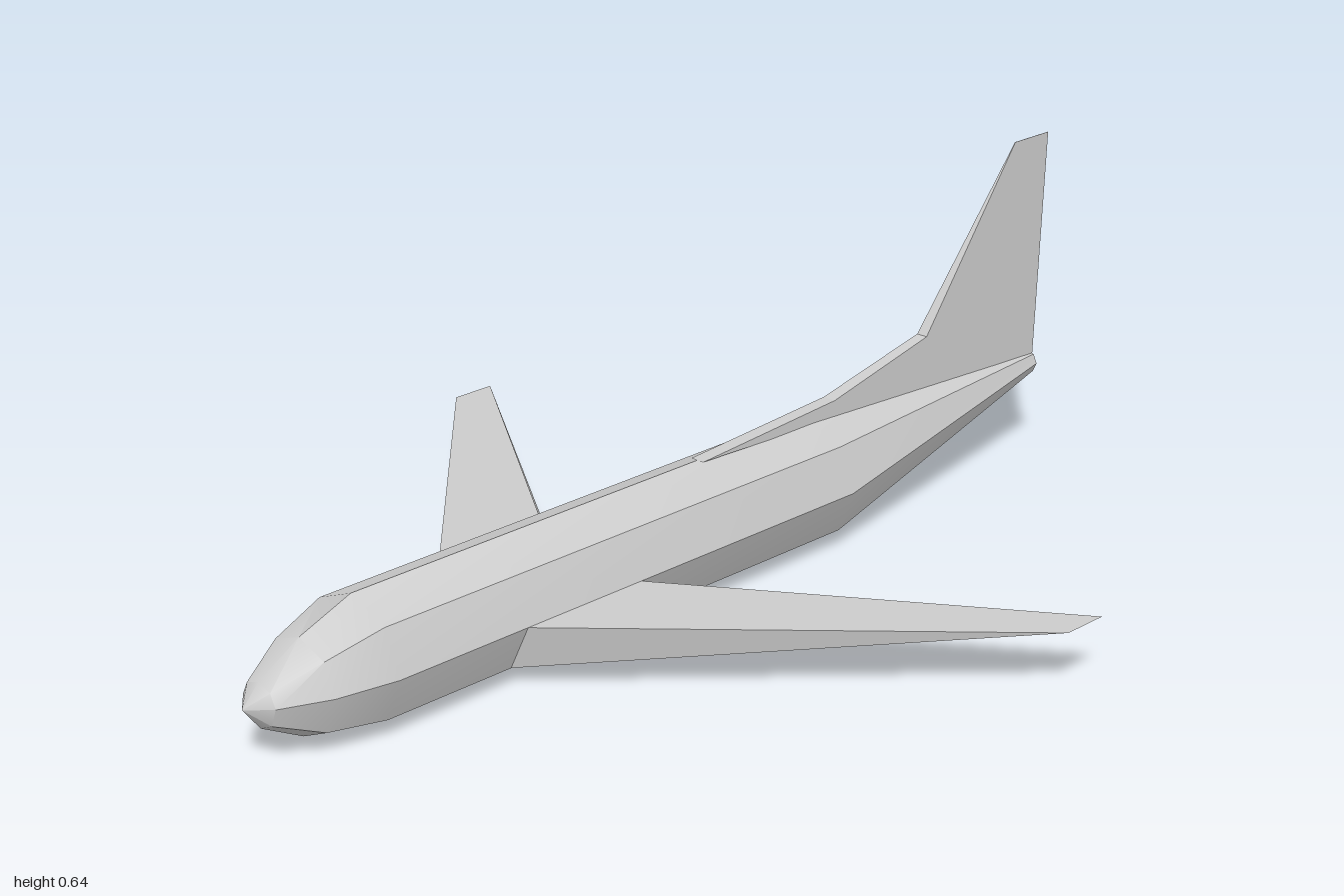
import * as THREE from 'three';
import { toCreasedNormals } from 'three/addons/utils/BufferGeometryUtils.js';
import { ConvexGeometry } from 'three/addons/geometries/ConvexGeometry.js';

const SIDES = 8;
const material = new THREE.MeshStandardMaterial({ color: 0xcccccc });

// Fuselage stations, tail to nose: [z, half width, bottom y, side y, top y]
const STATIONS = [
  [-0.96, 0.028, 0.155, 0.18, 0.205],
  [-0.32, 0.117, 0, 0.118, 0.235],
  [0.77, 0.117, 0, 0.118, 0.235],
  [0.88, 0.088, 0.015, 0.113, 0.193],
  [0.965, 0.042, 0.06, 0.108, 0.143],
];

// Octagonal skin lofted through the stations, closed by a fan at each end
function fuselageGeometry() {
  const positions = [], index = [];
  for (const [z, w, bottom, side, top] of STATIONS) {
    for (let k = 0; k < SIDES; k++) {
      const a = (k / SIDES) * Math.PI * 2, s = Math.sin(a);
      positions.push(w * Math.cos(a), side + s * (s > 0 ? top - side : side - bottom), z);
    }
  }
  const tail = STATIONS.length * SIDES, nose = tail + 1;
  positions.push(0, 0.18, -0.965, 0, 0.105, 1);
  const last = (STATIONS.length - 1) * SIDES;
  for (let k = 0; k < SIDES; k++) {
    const n = (k + 1) % SIDES;
    for (let r = 0; r < last; r += SIDES) {
      const a = r + k, b = r + n, c = a + SIDES, d = b + SIDES;
      index.push(a, b, c, b, d, c);
    }
    index.push(n, k, tail, last + k, last + n, nose);
  }
  const geometry = new THREE.BufferGeometry();
  geometry.setAttribute('position', new THREE.Float32BufferAttribute(positions, 3));
  geometry.setIndex(index);
  return toCreasedNormals(geometry, THREE.MathUtils.degToRad(38));
}

// Swept wing: thick wedge root shrinking to a knife-edge tip, flat on top
function wingGeometry(side) {
  const corners = [
    [0.117, 0.118, 0.49], [0.117, 0.118, 0.225],
    [0.083, 0.035, 0.5], [0.083, 0.035, 0.21],
    [0.77, 0.118, -0.13], [0.77, 0.118, -0.22],
  ];
  return new ConvexGeometry(corners.map(([x, y, z]) => new THREE.Vector3(side * x, y, z)));
}

// Fin with dorsal fillet, thinning evenly towards its top edge
function finGeometry() {
  const outline = [
    [-0.03, 0.235], [-0.38, 0.257], [-0.64, 0.315], [-0.9, 0.643],
    [-1, 0.643], [-0.96, 0.195], [-0.32, 0.225],
  ];
  const shape = new THREE.Shape(outline.map(([z, y]) => new THREE.Vector2(z, y)));
  const geometry = new THREE.ExtrudeGeometry(shape, { depth: 2, bevelEnabled: false });
  geometry.translate(0, 0, -1).rotateY(-Math.PI / 2);
  const p = geometry.attributes.position;
  for (let i = 0; i < p.count; i++) {
    p.setX(i, p.getX(i) * (0.0005 + 0.014 * (0.643 - p.getY(i)) / 0.408));
  }
  geometry.computeVertexNormals();
  return geometry;
}

export function createModel() {
  const model = new THREE.Group();
  model.name = 'airplane';
  const add = (name, geometry) => {
    const mesh = new THREE.Mesh(geometry, material);
    mesh.name = name;
    model.add(mesh);
  };
  add('fuselage', fuselageGeometry());
  add('leftWing', wingGeometry(1));
  add('rightWing', wingGeometry(-1));
  add('tailFin', finGeometry());
  return model;
}
